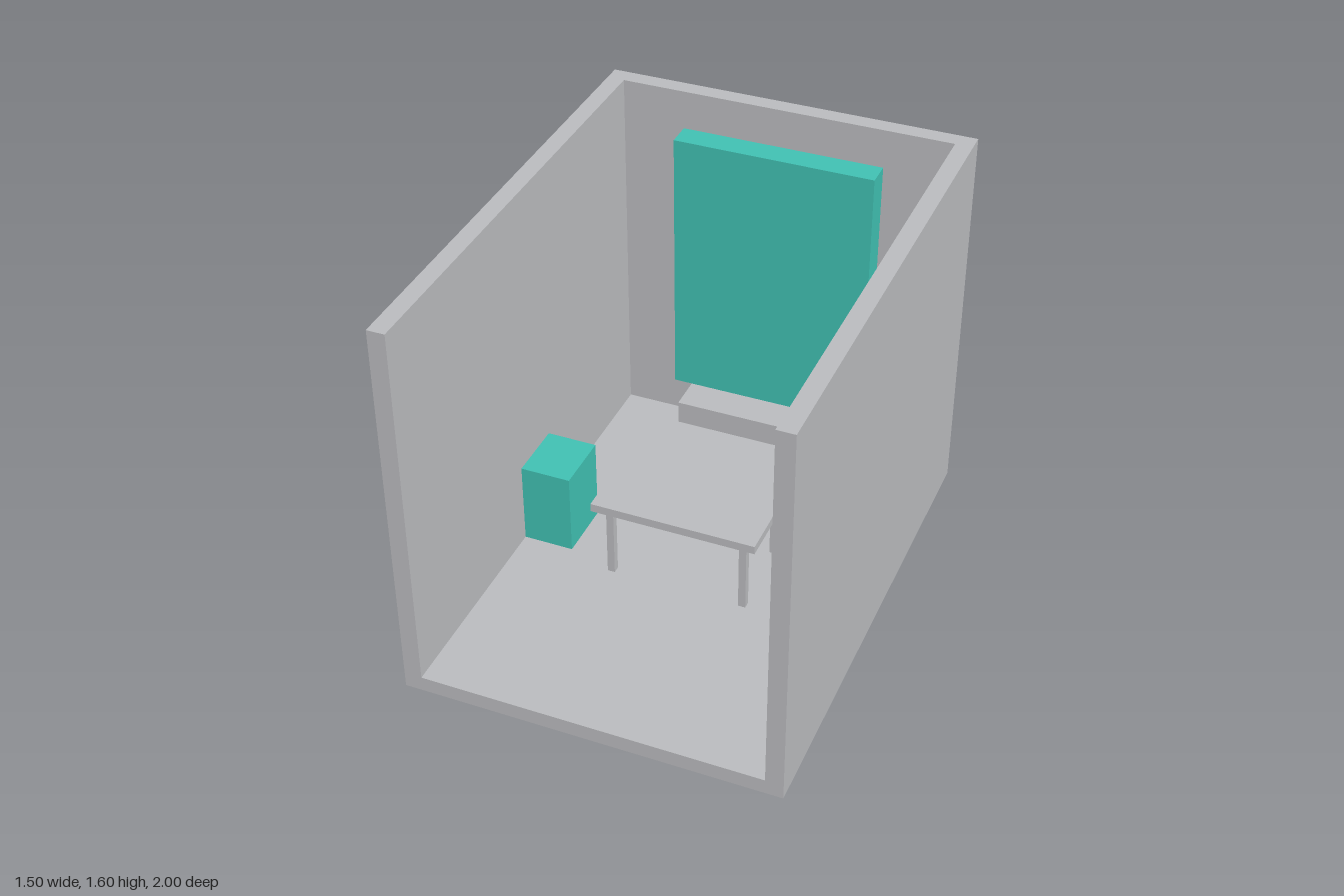
import * as THREE from 'three';

export function createModel() {
  const model = new THREE.Group();
  model.name = 'openBooth';

  const grey = new THREE.MeshStandardMaterial({ color: 0xbbbcbf });
  grey.name = 'light grey';
  const teal = new THREE.MeshStandardMaterial({ color: 0x41c1b3 });
  teal.name = 'teal';

  // Box from its minimum and maximum corners
  function box(parent, name, material, [x0, y0, z0], [x1, y1, z1]) {
    const mesh = new THREE.Mesh(new THREE.BoxGeometry(x1 - x0, y1 - y0, z1 - z0), material);
    mesh.position.set((x0 + x1) / 2, (y0 + y1) / 2, (z0 + z1) / 2);
    mesh.name = name;
    parent.add(mesh);
  }

  // Room shell: U-shaped walls in one piece, open at the front and top
  const floorY = 0.063, inX = 0.68, inZ = -0.93;
  const outline = new THREE.Shape([
    [-0.75, -1], [-inX, -1], [-inX, -inZ], [inX, -inZ],
    [inX, -1], [0.75, -1], [0.75, 1], [-0.75, 1],
  ].map(([x, y]) => new THREE.Vector2(x, y)));
  const wallGeometry = new THREE.ExtrudeGeometry(outline, { depth: 1.6 - floorY, bevelEnabled: false });
  wallGeometry.rotateX(-Math.PI / 2).translate(0, floorY, 0);
  const walls = new THREE.Mesh(wallGeometry, grey);
  walls.name = 'walls';
  model.add(walls);
  box(model, 'floor', grey, [-0.75, 0, -1], [0.75, floorY, 1]);

  // Back display panel and the shelf below it
  box(model, 'backPanel', teal, [-0.413, 0.302, -0.905], [0.413, 1.453, -0.8]);
  box(model, 'shelf', grey, [-0.337, 0.203, inZ], [0.337, 0.302, -0.652]);

  // Table
  const table = new THREE.Group();
  table.name = 'table';
  model.add(table);
  box(table, 'tableTop', grey, [-0.337, 0.377, -0.228], [0.337, 0.412, 0.222]);
  for (const sx of [-1, 1]) {
    for (const sz of [-1, 1]) {
      const x = sx * 0.275, z = sz * 0.172 - 0.003;
      box(table, 'tableLeg', grey, [x - 0.015, floorY, z - 0.015], [x + 0.015, 0.377, z + 0.015]);
    }
  }

  // Stools against the side walls
  box(model, 'rightStool', teal, [-inX, floorY, -0.127], [-0.475, 0.41, 0.122]);
  box(model, 'leftStool', teal, [0.475, floorY, -0.127], [inX, 0.41, 0.122]);

  return model;
}
